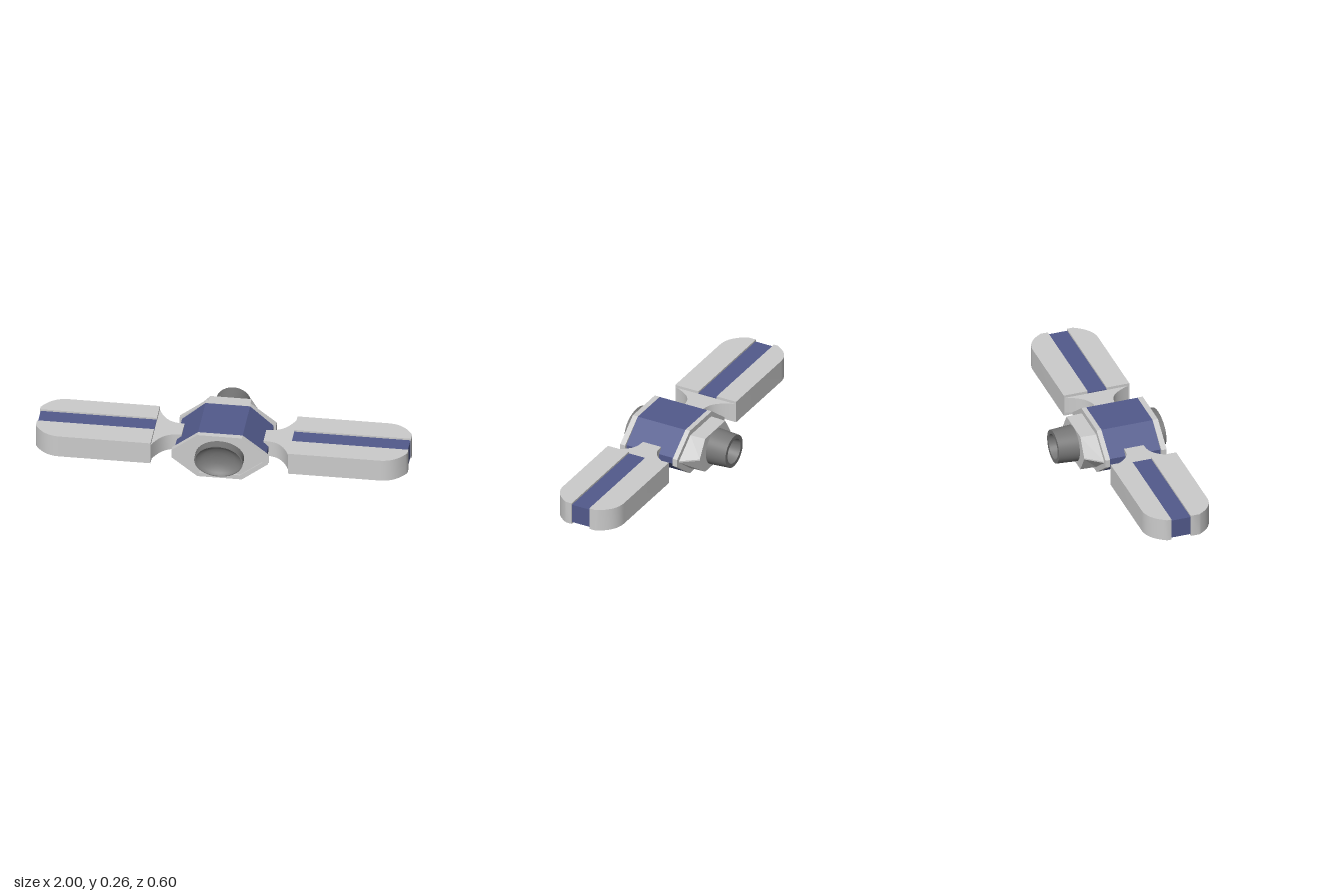
import * as THREE from 'three';
import { toCreasedNormals } from 'three/addons/utils/BufferGeometryUtils.js';

const grey = new THREE.MeshStandardMaterial({ color: 0xcccccc, side: THREE.DoubleSide });
const blue = new THREE.MeshStandardMaterial({ color: 0x525a8c, side: THREE.DoubleSide });
const dark = new THREE.MeshStandardMaterial({ color: 0x777777, side: THREE.DoubleSide });
const MID_Y = 0.131, MID_Z = 0.08;

function add(parent, name, geometry, material) {
  const mesh = new THREE.Mesh(geometry, material);
  mesh.name = name;
  parent.add(mesh);
  return mesh;
}

// Six long sides plus a small vertical flat at each side corner
function hullPoints(top, halfTop, side, halfSide) {
  const q = [[halfTop, top], [side, halfSide], [side, -halfSide], [halfTop, -top]];
  return [...q, ...q.slice().reverse().map(([x, y]) => [-x, y])]
    .map(([x, y]) => new THREE.Vector2(x, y + MID_Y));
}

function extrudeZ(shape, z0, z1) {
  const g = new THREE.ExtrudeGeometry(shape, { depth: z1 - z0, bevelEnabled: false });
  return g.translate(0, 0, z0);
}

// Plan outline in (x, z), raised between two heights
function extrudeY(shape, y0, y1) {
  const g = new THREE.ExtrudeGeometry(shape, { depth: y1 - y0, bevelEnabled: false, curveSegments: 12 });
  g.rotateX(Math.PI / 2).translate(0, y1, 0);
  return toCreasedNormals(g, 0.6);
}

// Straight-sided loft between two outlines with equal point counts
function loft(a, za, b, zb) {
  const pos = [];
  const n = a.length;
  for (let i = 0; i < n; i++) {
    const j = (i + 1) % n;
    const A = [a[i].x, a[i].y, za], B = [a[j].x, a[j].y, za];
    const C = [b[j].x, b[j].y, zb], D = [b[i].x, b[i].y, zb];
    pos.push(...A, ...C, ...B, ...A, ...D, ...C);
  }
  for (let i = 1; i < n - 1; i++) {
    for (const p of [b[0], b[i], b[i + 1]]) pos.push(p.x, p.y, zb);
  }
  // Outlines run clockwise, so the lofted walls need their corners swapped
  for (let k = 0; k < n * 18; k += 9) {
    for (let c = 0; c < 3; c++) [pos[k + 3 + c], pos[k + 6 + c]] = [pos[k + 6 + c], pos[k + 3 + c]];
  }
  const g = new THREE.BufferGeometry();
  g.setAttribute('position', new THREE.Float32BufferAttribute(pos, 3));
  g.computeVertexNormals();
  return g;
}

// Turned part with its axis along z; profile is [radius, z]
function turned(profile, sx, sy) {
  const g = new THREE.LatheGeometry(profile.map(([r, z]) => new THREE.Vector2(r, z)), 40);
  g.rotateX(Math.PI / 2).scale(sx, sy, 1).translate(0, MID_Y + 0.001, 0);
  return toCreasedNormals(g, 0.6);
}

function createBody() {
  const body = new THREE.Group();
  body.name = 'body';
  add(body, 'hullCore', extrudeZ(new THREE.Shape(hullPoints(0.129, 0.12, 0.246, 0.018)), -0.068, 0.222), blue);

  const outer = hullPoints(0.13, 0.12, 0.26, 0.022);
  const frontRim = new THREE.Shape(outer);
  const inner = hullPoints(0.105, 0.11, 0.232, 0.012);
  frontRim.holes.push(new THREE.Path(inner));
  add(body, 'frontRim', extrudeZ(frontRim, 0.222, 0.252), grey);
  add(body, 'frontPlate', extrudeZ(new THREE.Shape(inner), 0.222, 0.243), grey);
  add(body, 'rearRim', extrudeZ(new THREE.Shape(outer), -0.095, -0.068), grey);

  // Tapered tail: flat top and bottom, sides drawn in
  add(body, 'tail', loft(
    hullPoints(0.101, 0.115, 0.24, 0.004), -0.095,
    hullPoints(0.101, 0.11, 0.17, 0.004), -0.183), grey);
  return body;
}

function createWing(side) {
  const wing = new THREE.Group();
  wing.name = side > 0 ? 'leftWing' : 'rightWing';
  const [s0, s1] = side > 0 ? [0.03, 0.138] : [0.014, 0.124];
  const zMin = -0.105, zMax = 0.266;

  // Two outer panels, rounded toward the tip
  for (const [name, zIn, zOut, zTip] of [
    ['rearPanel', s0, zMin, -0.01], ['frontPanel', s1, zMax, 0.172],
  ]) {
    const p = new THREE.Shape();
    p.moveTo(side * 0.37, zIn);
    p.lineTo(side * 0.37, zOut);
    p.lineTo(side * 0.86, zOut);
    p.bezierCurveTo(side * 0.92, zOut, side * 0.965, (zOut * 2 + zTip) / 3, side, zTip);
    p.lineTo(side, zIn);
    add(wing, name, extrudeY(p, 0.069, 0.195), grey);
  }

  // Recessed coloured strip between the panels
  const strip = new THREE.BoxGeometry(0.625, 0.106, s1 - s0);
  strip.translate(side * 0.6835, 0.132, (s0 + s1) / 2);
  add(wing, 'strip', strip, blue);

  // Flared neck joining the wing to the hull
  const neck = new THREE.Shape();
  neck.moveTo(side * 0.22, MID_Z - 0.055);
  neck.lineTo(side * 0.25, MID_Z - 0.057);
  neck.bezierCurveTo(side * 0.31, MID_Z - 0.062, side * 0.345, MID_Z - 0.11, side * 0.372, zMin + 0.002);
  neck.lineTo(side * 0.372, zMax - 0.002);
  neck.bezierCurveTo(side * 0.345, MID_Z + 0.11, side * 0.31, MID_Z + 0.062, side * 0.25, MID_Z + 0.057);
  neck.lineTo(side * 0.22, MID_Z + 0.055);
  add(wing, 'neck', extrudeY(neck, 0.088, 0.18), grey);
  return wing;
}

export function createModel() {
  const model = new THREE.Group();
  model.name = 'wingedCraft';
  model.add(createBody(), createWing(1), createWing(-1));

  // Oval dish at the front, hollowed toward its centre
  add(model, 'frontDish', turned([
    [1, 0.235], [1, 0.297], [0.95, 0.297], [0.85, 0.284], [0.65, 0.27], [0.35, 0.261], [0, 0.258],
  ], 0.131, 0.095), dark);

  // Hollow nozzle at the rear
  add(model, 'rearNozzle', turned([
    [1.03, -0.18], [0.95, -0.298], [0.72, -0.298], [0.58, -0.21], [0, -0.21],
  ], 0.1, 0.0955), dark);
  return model;
}
